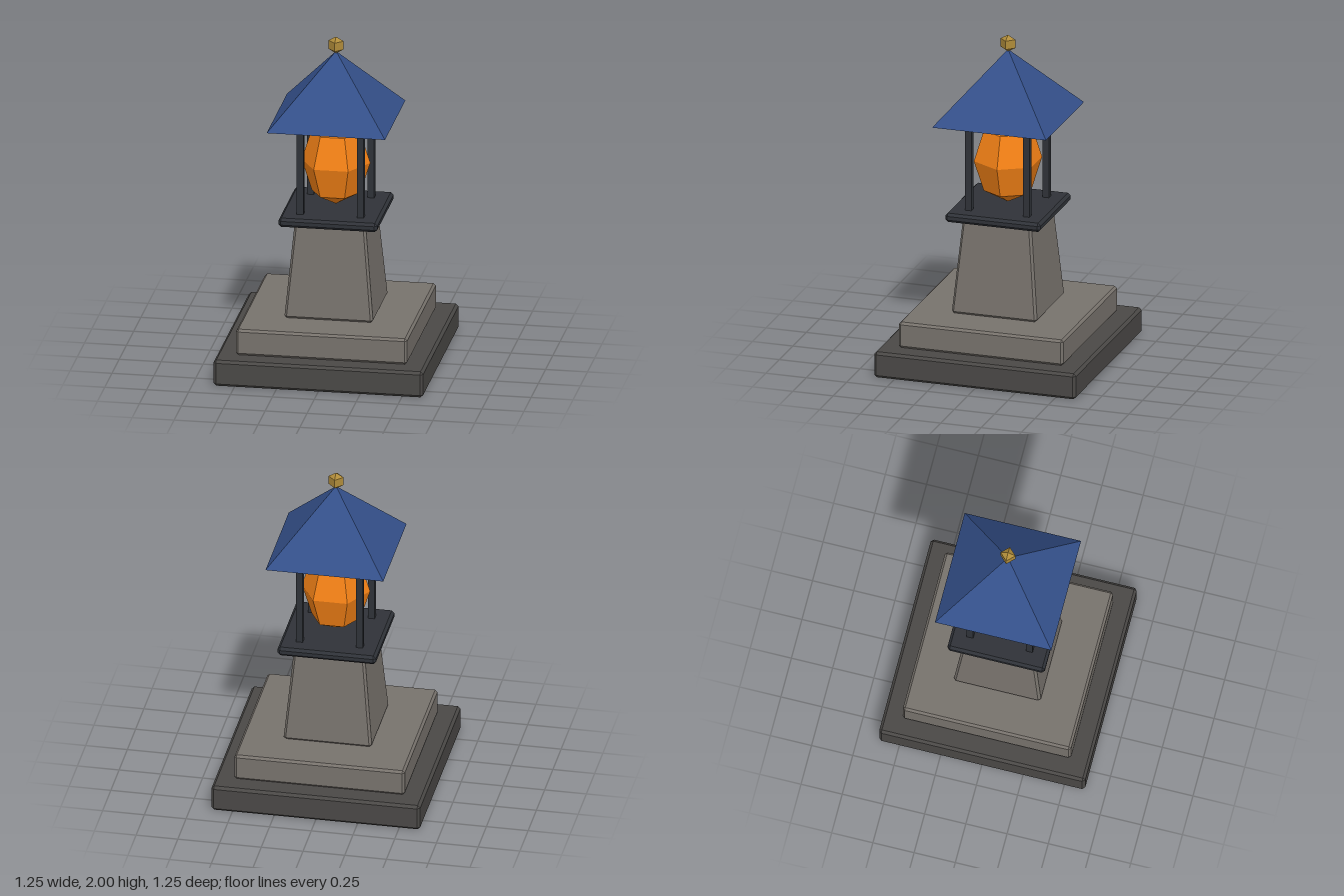
import * as THREE from 'three';
import { ConvexGeometry } from 'three/addons/geometries/ConvexGeometry.js';

const material = (color) => new THREE.MeshStandardMaterial({ color, flatShading: true });

// Square block from y0 to y1 with chamfered edges; half widths may differ at bottom and top
function chamferedBlock(bottomHalf, topHalf, y0, y1, bevel) {
  const points = [];
  const halfAt = (y) => THREE.MathUtils.mapLinear(y, y0, y1, bottomHalf, topHalf);
  for (const sx of [-1, 1]) for (const sz of [-1, 1]) {
    for (const [end, inner] of [[y0, y0 + bevel], [y1, y1 - bevel]]) {
      const h = halfAt(inner);
      const inset = h - bevel;
      points.push(
        new THREE.Vector3(sx * h, inner, sz * inset),
        new THREE.Vector3(sx * inset, inner, sz * h),
        new THREE.Vector3(sx * inset, end, sz * inset)
      );
    }
  }
  return new ConvexGeometry(points);
}

export function createModel() {
  const model = new THREE.Group();
  model.name = 'stoneLantern';

  const darkStone = material(0x4a4846);
  const stone = material(0x77726c);
  const iron = material(0x2f3238);
  const blue = material(0x34508a);
  const orange = material(0xf58216);
  const gold = material(0xb08c3a);

  const add = (name, geometry, mat, y = 0, x = 0, z = 0) => {
    const mesh = new THREE.Mesh(geometry, mat);
    mesh.name = name;
    mesh.position.set(x, y, z);
    model.add(mesh);
    return mesh;
  };

  // Stepped base, tapered pedestal and lantern platform
  add('base', chamferedBlock(0.625, 0.625, 0, 0.16, 0.016), darkStone);
  add('step', chamferedBlock(0.51, 0.51, 0.16, 0.32, 0.014), stone);
  add('pedestal', chamferedBlock(0.265, 0.212, 0.32, 0.897, 0.014), stone);
  add('platform', chamferedBlock(0.295, 0.295, 0.895, 0.95, 0.016), iron);

  // Four corner posts
  const postGeometry = new THREE.BoxGeometry(0.04, 0.56, 0.04);
  for (const x of [-0.18, 0.18]) for (const z of [-0.18, 0.18]) {
    add('post', postGeometry, iron, 1.225, x, z);
  }

  // Faceted flame
  const flame = add('flame', new THREE.SphereGeometry(1, 6, 4), orange, 1.225);
  flame.scale.set(0.205, 0.265, 0.205);

  // Pyramid roof
  const roof = new THREE.ConeGeometry(0.353 * Math.SQRT2, 0.41, 4);
  roof.rotateY(Math.PI / 4);
  add('roof', roof, blue, 1.705);

  // Finial bead
  add('finial', new THREE.SphereGeometry(0.052, 4, 3), gold, 1.948);

  return model;
}
